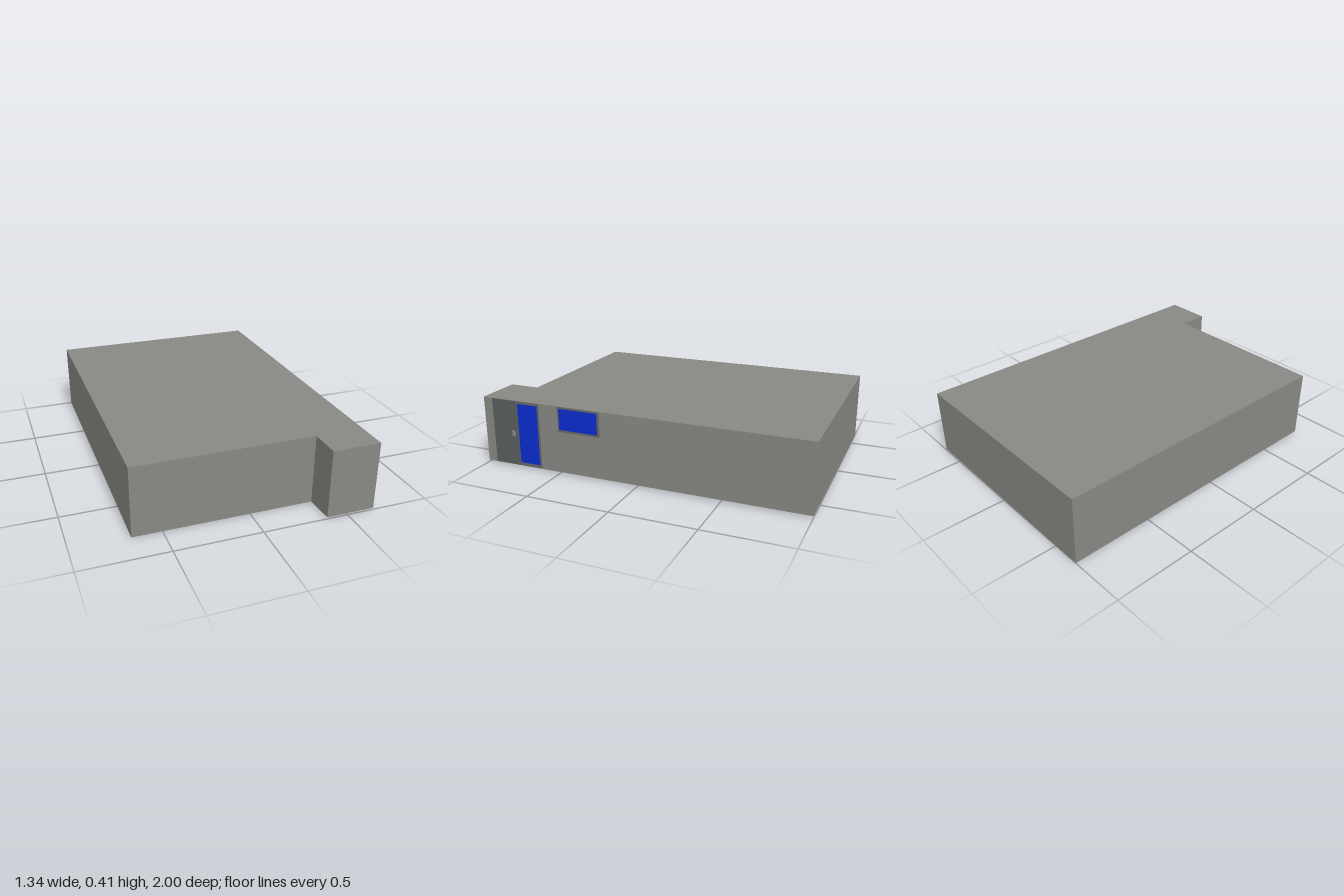
import * as THREE from 'three';

const HEIGHT = 0.415;
const WALL_X = 0.66;

export function createModel() {
  const model = new THREE.Group();
  model.name = 'building';

  const material = (name, color) => {
    const m = new THREE.MeshStandardMaterial({ color });
    m.name = name;
    return m;
  };
  const wallGrey = material('wallGrey', 0x888884);
  const doorGrey = material('doorGrey', 0x585e60);
  const frameGrey = material('frameGrey', 0x666a69);
  const glassBlue = material('glassBlue', 0x0b2cd0);

  // L-shaped block with a projecting corner wing
  const footprint = new THREE.Shape([
    [-0.67, 1], [-0.67, -0.815], [0.375, -0.815],
    [0.375, -1], [WALL_X, -1], [WALL_X, 1],
  ].map(([x, y]) => new THREE.Vector2(x, y)));
  const blockGeometry = new THREE.ExtrudeGeometry(footprint, { depth: HEIGHT, bevelEnabled: false });
  blockGeometry.rotateX(-Math.PI / 2);
  // The underside lifts slightly at the wing and the entrance wall
  const pos = blockGeometry.attributes.position;
  for (let i = 0; i < pos.count; i++) {
    if (pos.getY(i) < 0.1 && (pos.getX(i) > 0.6 || pos.getZ(i) > 0.9)) pos.setY(i, 0.01);
  }
  blockGeometry.computeVertexNormals();
  const block = new THREE.Mesh(blockGeometry, wallGrey);
  block.name = 'walls';
  model.add(block);

  // Thin plate on the entrance wall, given by its z and y extents
  const plate = (name, mat, z0, z1, y0, y1, thickness) => {
    const mesh = new THREE.Mesh(new THREE.BoxGeometry(thickness, y1 - y0, z1 - z0), mat);
    mesh.name = name;
    mesh.position.set(WALL_X + thickness / 2, (y0 + y1) / 2, (z0 + z1) / 2);
    model.add(mesh);
  };

  // Entrance door with a glazed side panel
  plate('door', doorGrey, 0.77, 0.94, 0.012, 0.413, 0.002);
  plate('sidePanelFrame', frameGrey, 0.62, 0.77, 0.012, 0.413, 0.002);
  plate('sidePanelGlass', glassBlue, 0.632, 0.765, 0.032, 0.398, 0.0035);
  plate('doorHandle', wallGrey, 0.79, 0.81, 0.195, 0.23, 0.008);

  // High window
  plate('windowFrame', frameGrey, 0.225, 0.495, 0.262, 0.413, 0.002);
  plate('windowGlass', glassBlue, 0.24, 0.485, 0.275, 0.402, 0.0035);

  return model;
}
